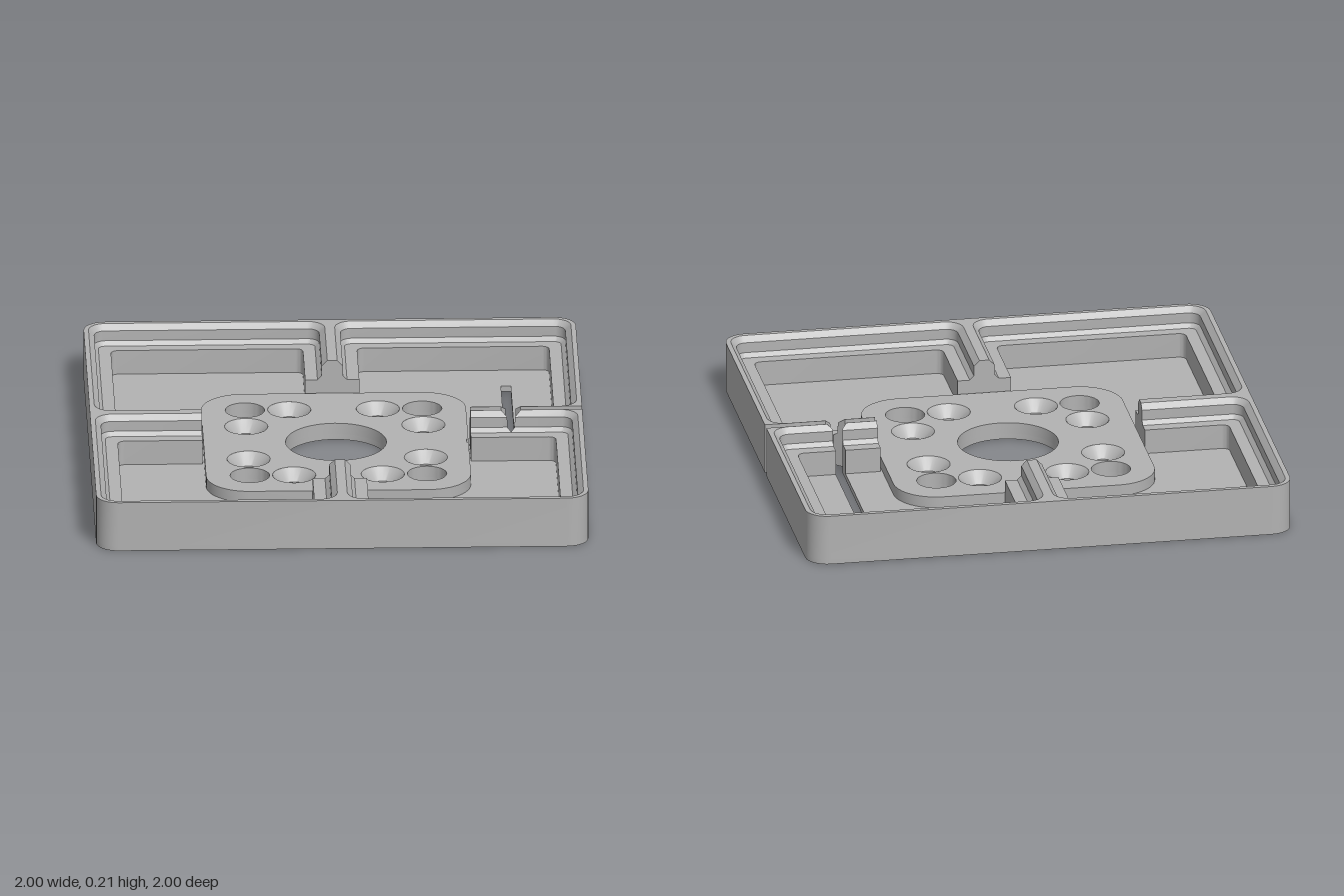
import * as THREE from 'three';
import { toCreasedNormals } from 'three/addons/utils/BufferGeometryUtils.js';

const H = 0.21, FLOOR = 0.024, BOSS = 0.071, BOSS_HALF = 0.538;
const SLOT = 0.018, SLOT_X = 0.71, RIB_END = 0.545, RIB_JOIN = 0.8;
// Stepped wall profile: [distance from cell boundary, height]
const PROFILE = [[0.02, H], [0.043, 0.187], [0.043, 0.144], [0.06, 0.127], [0.11, 0.127], [0.11, FLOOR]];

const grey = new THREE.MeshStandardMaterial({ color: 0xb2b2b2, side: THREE.DoubleSide });
grey.name = 'grey';

function addMesh(group, name, geometry) {
  const mesh = new THREE.Mesh(toCreasedNormals(geometry, 0.5), grey);
  mesh.name = name;
  group.add(mesh);
  return mesh;
}

// Plan path from [x, z, radius] corners; square corners with a radius become arcs
function roundPath(corners, n = 8) {
  const out = [];
  corners.forEach(([x, z, r], i) => {
    if (!r) return out.push([x, z]);
    const p = new THREE.Vector2(x, z);
    const u = new THREE.Vector2(...corners[i - 1].slice(0, 2)).sub(p).normalize();
    const v = new THREE.Vector2(...corners[i + 1].slice(0, 2)).sub(p).normalize();
    for (let k = 0; k <= n; k++) {
      const t = (k / n) * Math.PI / 2;
      const a = r * (1 - Math.sin(t)), b = r * (1 - Math.cos(t));
      out.push([x + u.x * a + v.x * b, z + u.y * a + v.y * b]);
    }
  });
  return out;
}

// Plan outlines are turned so that shape y becomes -z
const planShape = (pts) => new THREE.Shape(pts.map(([x, z]) => new THREE.Vector2(x, -z)));

function slab(pts, holes, y0, y1) {
  const shape = planShape(pts);
  for (const [x, z, r] of holes) {
    shape.holes.push(new THREE.Path().absarc(x, -z, r, 0, Math.PI * 2, true));
  }
  return new THREE.ExtrudeGeometry(shape, { depth: y1 - y0, bevelEnabled: false, curveSegments: 24 })
    .rotateX(-Math.PI / 2).translate(0, y0, 0);
}

// Skin between successive rows of [x, y, z] points
function loft(rows) {
  const pos = [], n = rows[0].length;
  for (let i = 0; i + 1 < rows.length; i++) {
    for (let j = 0; j + 1 < n; j++) {
      const a = rows[i][j], b = rows[i][j + 1], c = rows[i + 1][j], d = rows[i + 1][j + 1];
      pos.push(...a, ...c, ...b, ...b, ...c, ...d);
    }
  }
  const g = new THREE.BufferGeometry();
  g.setAttribute('position', new THREE.Float32BufferAttribute(pos, 3));
  return g;
}

// Outer edge, from one side of the slot round to the other
const outerPath = roundPath([[1, SLOT], [1, 1, 0.09], [-1, 1, 0.09], [-1, -1, 0.09], [1, -1, 0.09], [1, -SLOT]]);

// Inner edge of rim and ribs at distance d from the cell boundaries
function innerPath(d) {
  const e = 1 - d, r = Math.max(0.03, 0.09 - d), R = RIB_END;
  return roundPath([
    [RIB_JOIN, d], [e, d, r], [e, e, r], [d, e, r], [d, R],
    [-d, R], [-d, e, r], [-e, e, r], [-e, d, r], [-R, d],
    [-R, -d], [-e, -d, r], [-e, -e, r], [-d, -e, r], [-d, -R],
    [d, -R], [d, -e, r], [e, -e, r], [e, -d, r], [RIB_JOIN, -d],
  ]);
}

// Half width of the slot, with the diamond at its crossing
const slotHalf = (x) => SLOT + Math.max(0, 0.04 - Math.abs(x - SLOT_X));

function profileHeight(z) {
  if (z <= 0.02) return H;
  if (z < 0.043) return H - (z - 0.02);
  return z < 0.06 ? Math.min(0.144, 0.187 - z) : 0.127;
}

// Half of the slotted rib, swept along x
function halfRib(group, name, xs, side) {
  const sections = xs.map((x) => {
    const m = slotHalf(x), h = profileHeight(m);
    const pts = [[m, FLOOR], [m, h], ...PROFILE.map(([d, y]) => (d <= m ? [m, h] : [d, y]))];
    return pts.map(([z, y]) => [x, y, z * side]);
  });
  addMesh(group, name, loft(sections));
  for (const s of [sections[0], sections[sections.length - 1]]) {
    const cap = new THREE.ShapeGeometry(new THREE.Shape(s.map(([, y, z]) => new THREE.Vector2(z, y))));
    addMesh(group, name + 'End', cap.rotateY(-Math.PI / 2).translate(s[0][0], 0, 0));
  }
}

export function createModel() {
  const model = new THREE.Group();
  model.name = 'gridTray';

  // Hole layout
  const through = [[0, 0, 0.205]], screws = [];
  for (const sx of [-1, 1]) {
    for (const sz of [-1, 1]) {
      through.push([sx * 0.36, sz * 0.36, 0.08]);
      screws.push([sx * 0.18, sz * 0.36], [sx * 0.36, sz * 0.18]);
    }
  }

  // Floor plate with the slot cut in from the right edge
  const slotEdge = [
    [1, -SLOT], [0.75, -SLOT], [0.73, -0.038], [0.73, -0.715], [0.69, -0.715], [0.69, -0.038],
    [0.67, -SLOT], [0.53, -SLOT], [0.53, SLOT], [0.67, SLOT], [SLOT_X, 0.058], [0.75, SLOT],
  ];
  addMesh(model, 'floorPlate',
    slab([...outerPath, ...slotEdge.slice(1)], [...through, ...screws.map(([x, z]) => [x, z, 0.042])], 0, FLOOR));

  // Raised centre with countersunk screw holes
  const b = BOSS_HALF, r = 0.175;
  const bossPath = roundPath([[0.53, SLOT], [b, SLOT], [b, b, r], [-b, b, r], [-b, -b, r], [b, -b, r], [b, -SLOT], [0.53, -SLOT]], 12);
  addMesh(model, 'centreBoss',
    slab(bossPath, [...through, ...screws.map(([x, z]) => [x, z, 0.088])], FLOOR, BOSS));
  const cone = new THREE.LatheGeometry([new THREE.Vector2(0.042, FLOOR), new THREE.Vector2(0.088, BOSS)], 32);
  for (const [x, z] of screws) addMesh(model, 'countersink', cone).position.set(x, 0, z);

  // Rim and ribs: outer wall, top face and stepped inner wall
  const wallPath = [[RIB_JOIN, SLOT], ...outerPath, [RIB_JOIN, -SLOT]];
  addMesh(model, 'outerWall', loft([FLOOR, H].map((y) => wallPath.map(([x, z]) => [x, y, z]))));
  const top = new THREE.ShapeGeometry(planShape([...wallPath, ...innerPath(PROFILE[0][0]).reverse()]));
  addMesh(model, 'rimTop', top.rotateX(-Math.PI / 2).translate(0, H, 0));
  addMesh(model, 'steppedWall', loft(PROFILE.map(([d, y]) => innerPath(d).map(([x, z]) => [x, y, z]))));

  // Right rib, split by the slot
  halfRib(model, 'slottedRibFront', [RIB_END, 0.67, 0.694, 0.696, SLOT_X, 0.724, 0.726, 0.75, RIB_JOIN], 1);
  halfRib(model, 'slottedRibBackInner', [RIB_END, 0.67, 0.69], -1);
  halfRib(model, 'slottedRibBackOuter', [0.73, 0.75, RIB_JOIN], -1);

  return model;
}
